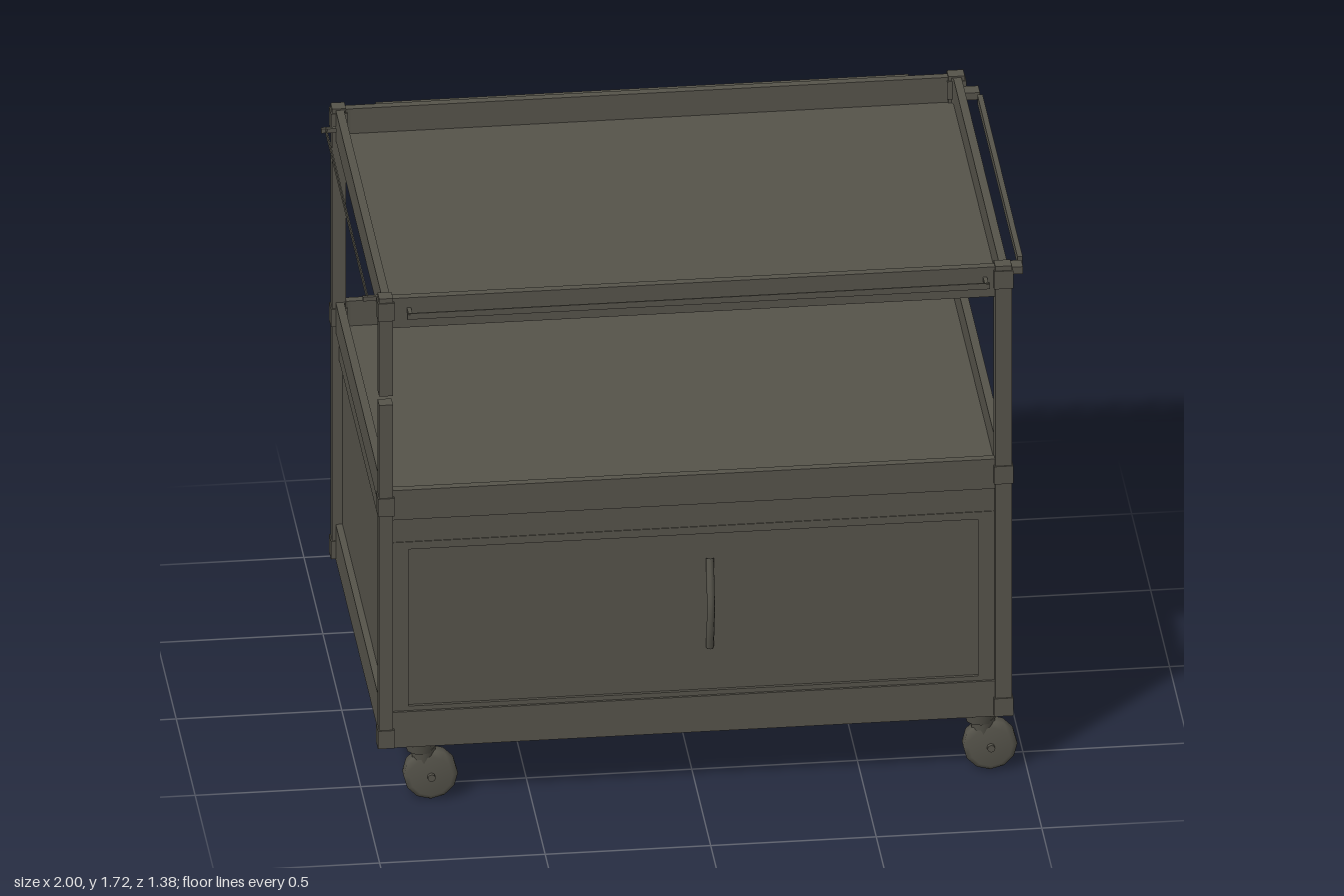
import * as THREE from 'three';

export function createModel() {
  const cart = new THREE.Group();
  const metal = new THREE.MeshStandardMaterial({ color: 0x55534a });
  metal.name = 'darkOliveMetal';

  const add = (name, geometry, x, y, z, parent = cart) => {
    const mesh = new THREE.Mesh(geometry, metal);
    mesh.name = name;
    mesh.position.set(x, y, z);
    parent.add(mesh);
    return mesh;
  };
  const box = (name, w, h, d, x, y, z, parent) =>
    add(name, new THREE.BoxGeometry(w, h, d), x, y, z, parent);

  const cx = -0.005, cz = 0.005;

  // Rounded rectangle centred on the origin
  const roundRect = (Type, w, d, r) => {
    const s = new Type(), a = w / 2, b = d / 2;
    s.moveTo(-a + r, -b);
    s.lineTo(a - r, -b); s.quadraticCurveTo(a, -b, a, -b + r);
    s.lineTo(a, b - r); s.quadraticCurveTo(a, b, a - r, b);
    s.lineTo(-a + r, b); s.quadraticCurveTo(-a, b, -a, b - r);
    s.lineTo(-a, -b + r); s.quadraticCurveTo(-a, -b, -a + r, -b);
    return s;
  };

  // Open tray: upright rim around a thin floor
  const tray = (name, bottom, top) => {
    const g = new THREE.Group();
    g.name = name;
    cart.add(g);
    const shape = roundRect(THREE.Shape, 1.89, 1.265, 0.03);
    shape.holes.push(roundRect(THREE.Path, 1.84, 1.215, 0.02));
    const rim = new THREE.ExtrudeGeometry(shape, { depth: top - bottom, bevelEnabled: false, curveSegments: 4 });
    rim.rotateX(-Math.PI / 2);
    add(name + 'Rim', rim, cx, bottom, cz, g);
    box(name + 'Floor', 1.86, 0.015, 1.235, cx, bottom + 0.0085, cz, g);
  };
  tray('topTray', 1.62, 1.72);
  tray('middleTray', 0.97, 1.07);
  tray('bottomTray', 0.2, 0.32);

  // Cabinet: upper band and recessed walls
  box('cabinetBand', 1.87, 0.1, 1.245, cx, 0.925, cz);
  box('leftWall', 0.02, 0.68, 1.22, cx + 0.915, 0.55, cz);
  box('rightWall', 0.02, 0.68, 1.22, cx - 0.915, 0.55, cz);
  box('backWall', 1.84, 0.68, 0.02, cx, 0.55, cz - 0.6);

  // Front frame with the door set into it
  const frame = new THREE.Shape();
  frame.moveTo(-0.92, 0.31); frame.lineTo(0.91, 0.31);
  frame.lineTo(0.91, 0.89); frame.lineTo(-0.92, 0.89);
  const opening = new THREE.Path();
  opening.moveTo(-0.87, 0.335); opening.lineTo(-0.87, 0.865);
  opening.lineTo(0.85, 0.865); opening.lineTo(0.85, 0.335);
  frame.holes.push(opening);
  add('doorFrame', new THREE.ExtrudeGeometry(frame, { depth: 0.03, bevelEnabled: false }), 0, 0, 0.6);
  box('door', 1.74, 0.55, 0.02, -0.01, 0.6, 0.61);

  // Slim door handle, bowed outward in the middle
  const bow = new THREE.CatmullRomCurve3([[0.48, 0.625], [0.55, 0.645], [0.63, 0.655], [0.7, 0.645], [0.78, 0.625]]
    .map(([y, z]) => new THREE.Vector3(0, y, z)));
  add('doorHandle', new THREE.TubeGeometry(bow, 14, 0.012, 8), 0.04, 0, 0);

  // Corner posts; two of them are made in two lengths with a small joint gap
  for (const [x, w] of [[-0.94, 0.042], [0.925, 0.05]]) {
    for (const z of [0.625, -0.618]) {
      const split = x * z < 0;
      const spans = split ? [[0.21, 1.365], [1.395, 1.725]] : [[0.21, 1.725]];
      for (const [a, b] of spans) box('cornerPost', w, b - a, 0.042, x, (a + b) / 2, z);
      // Foot collar and tray brackets
      for (const y of [0.235, 1.02, 1.68]) box('postBracket', w + 0.008, 0.06, 0.05, x, y, z);
    }
  }

  // Side rails around the top tray; the front and right ones are thin strips
  const railY = 1.68;
  box('backRail', 1.61, 0.025, 0.014, -0.015, railY, -0.683);
  box('leftRail', 0.016, 0.028, 1.06, 0.988, railY, 0);
  box('frontRail', 1.76, 0.02, 0.004, 0, railY, 0.682);
  box('rightRail', 0.004, 0.02, 1.1, -0.985, railY, 0);
  for (const s of [-1, 1]) {
    box('leftRailBracket', 0.05, 0.024, 0.045, 0.965, railY, s * 0.57);
    box('rightRailBracket', 0.045, 0.014, 0.012, -0.977, railY, s * 0.55);
    box('frontRailBracket', 0.012, 0.014, 0.05, s * 0.87, railY, 0.66);
    box('backRailBracket', 0.012, 0.014, 0.06, s * 0.8 - 0.015, railY, -0.66);
  }

  // Swivel casters, wheels trailing toward the left
  const wheelProfile = [[0, -0.032], [0.065, -0.032], [0.082, -0.018], [0.082, 0.018], [0.065, 0.032], [0, 0.032]]
    .map(([r, y]) => new THREE.Vector2(r, y));
  const wheel = new THREE.LatheGeometry(wheelProfile, 12).rotateX(Math.PI / 2);
  const axle = new THREE.CylinderGeometry(0.012, 0.012, 0.09, 8).rotateX(Math.PI / 2);
  for (const [x, dx] of [[-0.83, 0.03], [0.86, 0.03]]) {
    for (const z of [0.583, -0.563]) {
      const caster = new THREE.Group();
      caster.name = 'caster';
      caster.position.set(x, 0, z);
      cart.add(caster);
      add('casterPlate', new THREE.CylinderGeometry(0.052, 0.042, 0.04, 10), 0, 0.185, 0, caster);
      add('casterNeck', new THREE.CylinderGeometry(0.04, 0.03, 0.06, 10), 0.008, 0.145, 0, caster);
      add('casterWheel', wheel, dx, 0.085, 0, caster);
      add('casterAxle', axle, dx, 0.085, 0, caster);
    }
  }
  return cart;
}
